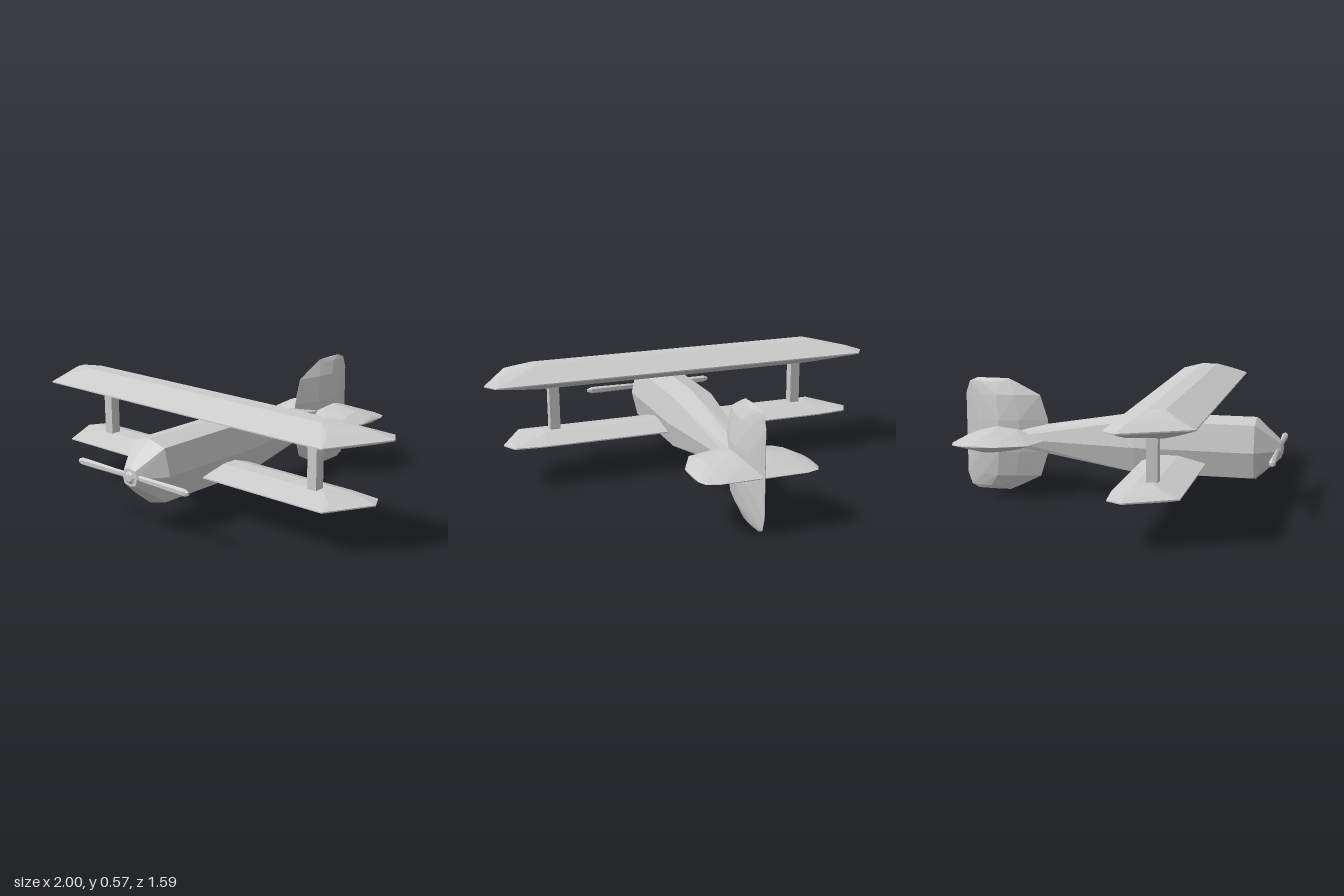
import * as THREE from 'three';
import { ConvexGeometry } from 'three/addons/geometries/ConvexGeometry.js';

const V = (x, y, z) => new THREE.Vector3(x, y, z);

export function createModel() {
  const model = new THREE.Group();
  model.name = 'biplane';
  const grey = new THREE.MeshStandardMaterial({ color: 0xcccccc });
  grey.name = 'light grey';

  // Every part is a faceted convex solid spanned by a few cross-sections
  const solid = (name, points) => {
    const mesh = new THREE.Mesh(new ConvexGeometry(points), grey);
    mesh.name = name;
    model.add(mesh);
    return mesh;
  };

  // Fuselage: eight-sided section, [z, width scale, height scale]
  const section = [[0, 0.152], [0.1, 0.127], [0.13, 0], [0.1, -0.125], [0, -0.15],
    [-0.1, -0.125], [-0.13, 0], [-0.1, 0.127]];
  const stations = [[0.785, 0.35, 0.27], [0.665, 1, 1], [0.09, 1, 1], [-0.6, 0.42, 0.22]];
  solid('fuselage', stations.flatMap(([z, w, h]) =>
    section.map(([x, y]) => V(x * w, 0.273 + y * h, z))));

  // Wings: thin outline, bevel ring and flat cap, given as [x, height, z]
  const wing = (name, y, rim) => solid(name, rim.flatMap(([x, h, z]) =>
    [1, -1].flatMap((s) => [V(s * x, y + h, z), V(s * x, y - h, z)])));
  wing('upperWing', 0.513, [
    [0.845, 0.003, 0.51], [1, 0.003, 0.21], [0.955, 0.003, 0.145],
    [0.81, 0.032, 0.43], [0.92, 0.028, 0.235],
    [0.73, 0.061, 0.365], [0.73, 0.061, 0.285],
  ]);
  wing('lowerWing', 0.208, [
    [0.8, 0.003, 0.44], [0.92, 0.003, 0.22], [0.88, 0.003, 0.145], [0.73, 0.003, 0.13],
    [0.78, 0.02, 0.37], [0.86, 0.016, 0.215],
    [0.71, 0.037, 0.31], [0.71, 0.037, 0.23],
  ]);

  // Wing struts
  for (const s of [1, -1]) {
    const strut = new THREE.Mesh(new THREE.BoxGeometry(0.05, 0.26, 0.05), grey);
    strut.name = s > 0 ? 'leftStrut' : 'rightStrut';
    strut.position.set(s * 0.65, 0.345, 0.295);
    model.add(strut);
  }

  // Tail surfaces: lens sections [span, leading z, trailing z, half thickness]
  const ribs = [[0, -0.37, -0.795, 0.067], [0.08, -0.37, -0.795, 0.064],
    [0.205, -0.41, -0.795, 0.042], [0.265, -0.53, -0.775, 0.018], [0.283, -0.57, -0.735, 0.004]];
  const lens = [[0, 0.02], [0.32, 0.75], [0.56, 1], [0.78, 0.62], [1, 0.02]];
  const tail = [];
  for (const [span, lead, trail, t] of ribs)
    for (const [f, k] of lens)
      for (const s of [1, -1])
        for (const u of [1, -1]) tail.push(V(s * span, u * k * t, lead + (trail - lead) * f));
  solid('tailplane', tail).position.y = 0.272;
  const fin = solid('tailFin', tail);
  fin.position.y = 0.285;
  fin.rotation.z = Math.PI / 2;

  // Propeller blades: six-sided, swelling towards a rounded tip
  const bladeRings = [[0, 0.014, 0.007], [0.26, 0.018, 0.014], [0.325, 0.018, 0.016], [0.347, 0.009, 0.008]];
  for (const s of [1, -1]) {
    const pts = [];
    for (const [x, h, d] of bladeRings)
      for (let i = 0; i < 6; i++) {
        const a = (i + 0.5) * Math.PI / 3;
        pts.push(V(s * x, Math.sin(a) * h, Math.cos(a) * d));
      }
    solid(s > 0 ? 'leftBlade' : 'rightBlade', pts).position.set(0, 0.275, 0.772);
  }

  // Propeller hub
  const hub = [];
  for (const [z, r] of [[0.76, 0.035], [0.782, 0.035], [0.793, 0.018]])
    for (let i = 0; i < 8; i++) {
      const a = i * Math.PI / 4;
      hub.push(V(Math.cos(a) * r, 0.273 + Math.sin(a) * r, z));
    }
  solid('propellerHub', hub);

  return model;
}
